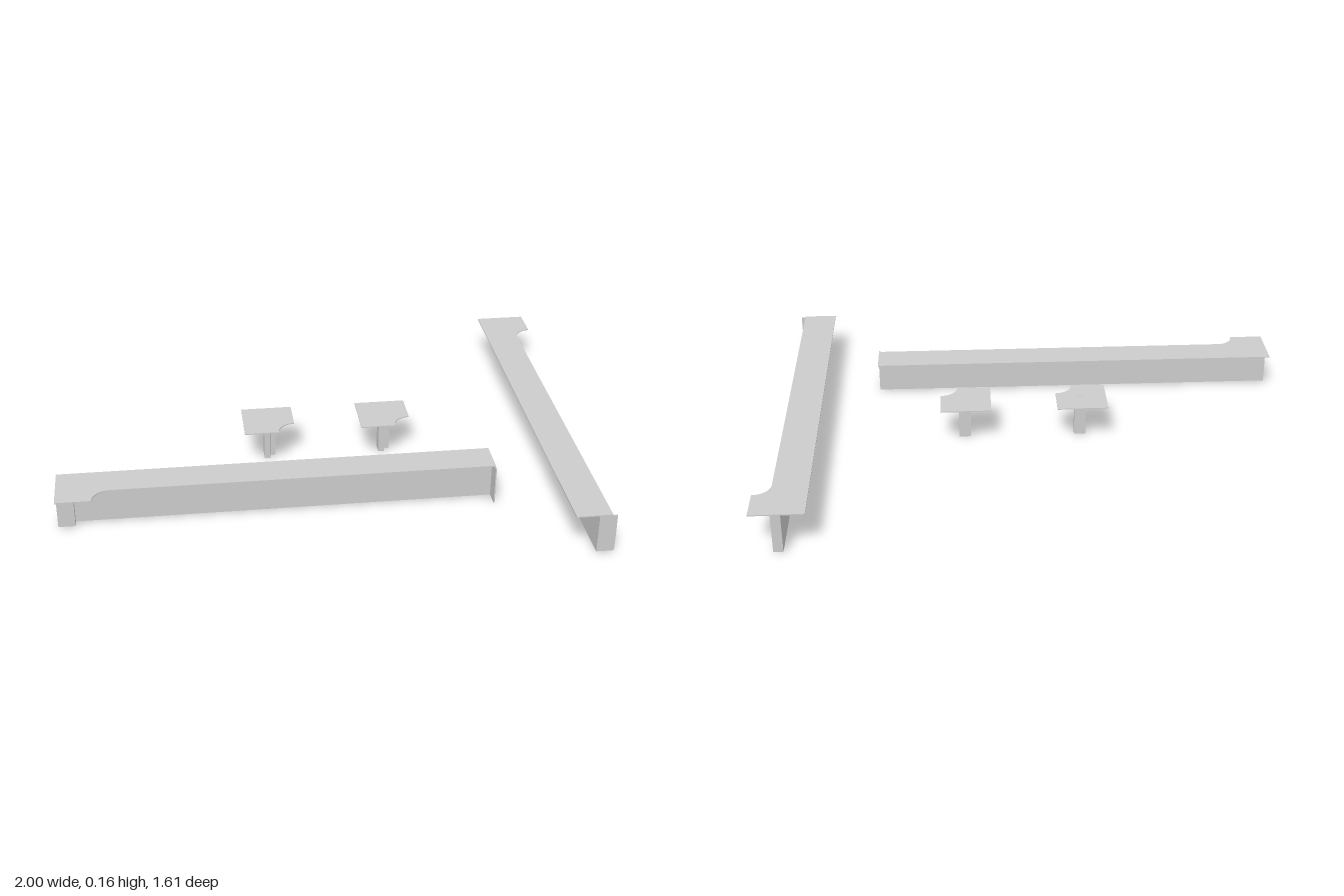
import * as THREE from 'three';

const TOP = 0.157, BOTTOM = 0.006, WIDTH = 0.195, RADIUS = 0.065, SHEET = 0.004;
const material = new THREE.MeshStandardMaterial({ color: 0xcccccc, flatShading: true, side: THREE.DoubleSide });

// Upright prism over a plan outline given in a piece's own (along, across) coordinates
function prism(name, outline, y0, y1, place) {
  const shape = new THREE.Shape(outline.map(([u, v]) => {
    const [x, z] = place(u, v);
    return new THREE.Vector2(x, -z);
  }));
  const geometry = new THREE.ExtrudeGeometry(shape, { depth: y1 - y0, bevelEnabled: false });
  geometry.rotateX(-Math.PI / 2).translate(0, y0, 0);
  const mesh = new THREE.Mesh(geometry, material);
  mesh.name = name;
  return mesh;
}

const rect = (u0, v0, u1, v1) => [[u0, v0], [u1, v0], [u1, v1], [u0, v1]];

// Flange plan with a concave rounded inner corner next to its wide end
function flangeOutline(length) {
  const points = [[0, 0], [length, 0]];
  if (length > WIDTH) points.push([length, WIDTH - RADIUS]);
  for (let i = 0; i <= 10; i++) {
    const a = (i / 10) * Math.PI / 2;
    points.push([WIDTH - RADIUS * Math.sin(a), WIDTH - RADIUS * Math.cos(a)]);
  }
  points.push([0, WIDTH]);
  return points;
}

// Long rail: flange, web, corner pilaster and end plate
function rail(name, length, place) {
  const group = new THREE.Group();
  group.name = name;
  const under = TOP - SHEET;
  group.add(
    prism('flange', flangeOutline(length), under, TOP, place),
    prism('web', rect(0, 0.083, length, 0.083 + SHEET), BOTTOM, under, place),
    prism('pilaster', rect(0, 0.083 + SHEET, 0.062, 0.118), BOTTOM, under, place),
    prism('endPlate', rect(length - SHEET, 0.083, length, 0.147), BOTTOM, under, place),
  );
  return group;
}

// Corner post: notched square flange on an L-shaped post
function cornerPost(name, place) {
  const group = new THREE.Group();
  group.name = name;
  const a = 0.079, b = 0.102, c = 0.124;
  const section = [[a, a], [c, a], [c, b], [b, b], [b, c], [a, c]];
  group.add(
    prism('flange', flangeOutline(WIDTH), TOP - SHEET, TOP, place),
    prism('post', section, 0.003, TOP - SHEET, place),
  );
  return group;
}

export function createModel() {
  const model = new THREE.Group();
  model.add(
    rail('frontRail', 1.603, (u, v) => [-1 + u, 0.305 + v]),
    rail('leftRail', 1.61, (u, v) => [0.805 + v, -0.805 + u]),
    cornerPost('cornerPostWithPin', (u, v) => [-0.295 + u, -0.102 + v]),
    cornerPost('cornerPost', (u, v) => [0.154 + u, -0.102 + v]),
  );

  // Thin pin through the first post
  const pin = new THREE.Mesh(new THREE.CylinderGeometry(0.006, 0.006, TOP + 0.001, 8), material);
  pin.name = 'pin';
  pin.position.set(-0.195, (TOP + 0.001) / 2, 0.001);
  model.add(pin);
  return model;
}
